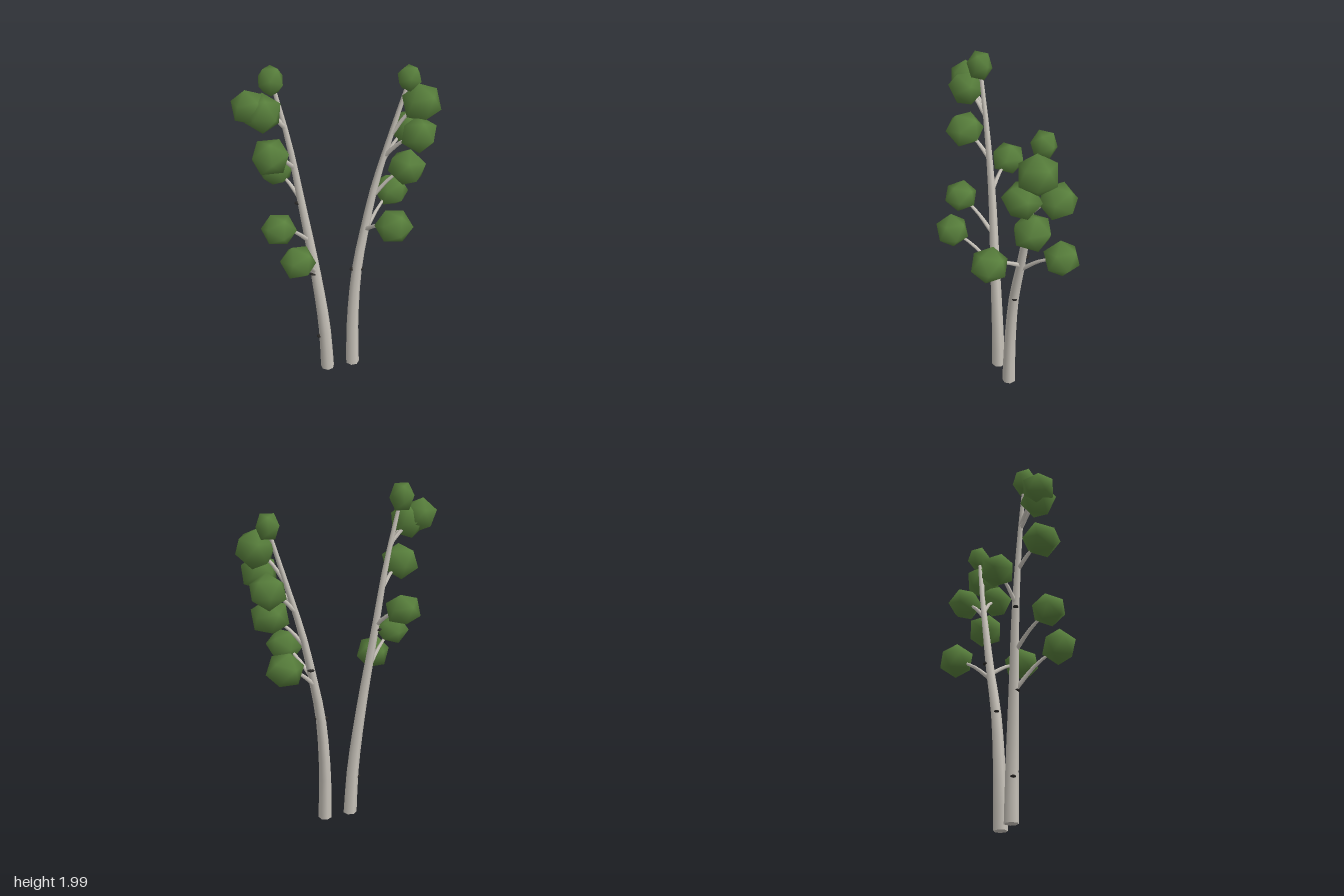
import * as THREE from 'three';
import { mergeVertices } from 'three/addons/utils/BufferGeometryUtils.js';

const bark = new THREE.MeshStandardMaterial({ color: 0xcac5bc });
bark.name = 'pale bark';
const mark = new THREE.MeshStandardMaterial({ color: 0x2a2826 });
mark.name = 'dark bark mark';
const leaf = new THREE.MeshStandardMaterial({ color: 0x587f3c });
leaf.name = 'leaf green';

const V = (p) => new THREE.Vector3(...p);

// Round tube along a curve, narrowing from r0 to r1
function taperedTube(curve, steps, sides, r0, r1) {
  const geo = new THREE.TubeGeometry(curve, steps, 1, sides);
  const pos = geo.attributes.position;
  const v = new THREE.Vector3();
  for (let i = 0; i <= steps; i++) {
    const c = curve.getPointAt(i / steps);
    const r = THREE.MathUtils.lerp(r0, r1, i / steps);
    for (let j = 0; j <= sides; j++) {
      const k = i * (sides + 1) + j;
      v.fromBufferAttribute(pos, k).sub(c).multiplyScalar(r).add(c);
      pos.setXYZ(k, v.x, v.y, v.z);
    }
  }
  return geo;
}

// Closed twelve-cornered leaf blob with smooth shading
function blobGeometry() {
  const geo = new THREE.IcosahedronGeometry(1, 0);
  geo.deleteAttribute('normal');
  geo.deleteAttribute('uv');
  const blob = mergeVertices(geo);
  blob.computeVertexNormals();
  return blob;
}

// Leaf blob turned by its own angles, then stretched upright
function leafCluster(blob, { at, r, tall = 1 }, i) {
  const mesh = new THREE.Mesh(blob, leaf);
  mesh.name = 'leafCluster';
  mesh.rotation.set(i * 1.1 + 0.3, i * 0.7, i * 1.9);
  mesh.scale.setScalar(r);
  const foliage = new THREE.Group();
  foliage.name = 'foliage';
  foliage.position.set(...at);
  foliage.scale.y = tall;
  foliage.add(mesh);
  return foliage;
}

function buildTree(name, { trunk, clusters, marks }) {
  const tree = new THREE.Group();
  tree.name = name;
  const curve = new THREE.CatmullRomCurve3(trunk.map(V));
  const trunkGeo = taperedTube(curve, 14, 7, 0.041, 0.01);
  for (let j = 0; j <= 7; j++) trunkGeo.attributes.position.setY(j, 0);
  const stem = new THREE.Mesh(trunkGeo, bark);
  stem.name = 'trunk';
  const base = new THREE.Mesh(new THREE.CircleGeometry(0.039, 7), bark);
  base.name = 'trunkBase';
  base.rotation.x = Math.PI / 2;
  base.position.set(trunk[0][0], 0.001, trunk[0][2]);
  tree.add(stem, base);

  // Point on the trunk at a given height
  const samples = curve.getSpacedPoints(200);
  const trunkAt = (y) => samples.find((p) => p.y >= y);

  const blob = blobGeometry();
  clusters.forEach((c, i) => {
    tree.add(leafCluster(blob, c, i));
    if (!c.from) return;
    // Branch leaves the trunk steeply, then bends out to the leaves
    const a = trunkAt(c.from);
    const b = V(c.at);
    const mid = a.clone().lerp(b, 0.5);
    mid.y += (b.y - a.y) * 0.12;
    const path = new THREE.CatmullRomCurve3([a, mid, b]);
    const branch = new THREE.Mesh(taperedTube(path, 6, 5, 0.014, 0.007), bark);
    branch.name = 'branch';
    tree.add(branch);
  });

  // Small flattened bark marks
  for (const p of marks) {
    const m = new THREE.Mesh(new THREE.SphereGeometry(1, 8, 5), mark);
    m.name = 'barkMark';
    m.scale.set(0.02, 0.008, 0.016);
    m.position.set(...p);
    tree.add(m);
  }
  return tree;
}

const leftSide = {
  trunk: [[-0.074, 0, 0.018], [-0.09, 0.3, 0.02], [-0.138, 0.7, 0.024], [-0.21, 1.17, 0.026], [-0.27, 1.55, 0.04], [-0.345, 1.9, 0.06]],
  clusters: [
    { at: [-0.353, 1.917, 0.063], r: 0.072, tall: 1.2 },
    { at: [-0.468, 1.8, 0.12], r: 0.096, from: 1.66 },
    { at: [-0.4, 1.77, 0.13], r: 0.104, from: 1.64 },
    { at: [-0.37, 1.53, 0.15], r: 0.11, tall: 0.92, from: 1.4 },
    { at: [-0.345, 1.33, -0.092], r: 0.102, tall: 0.92, from: 1.2 },
    { at: [-0.34, 1.11, 0.188], r: 0.099, tall: 0.9, from: 0.92 },
    { at: [-0.243, 0.94, 0.258], r: 0.1, from: 0.7 },
  ],
  marks: [[-0.118, 0.24, 0.022], [-0.152, 0.71, 0.042], [-0.23, 1.175, 0.024]],
};

const rightSide = {
  trunk: [[0.082, 0, -0.018], [0.081, 0.3, -0.025], [0.105, 0.67, -0.042], [0.148, 0.92, -0.068], [0.205, 1.2, -0.09], [0.288, 1.5, -0.108], [0.38, 1.82, -0.12]],
  clusters: [
    { at: [0.382, 1.83, -0.125], r: 0.07, tall: 1.12 },
    { at: [0.447, 1.703, -0.085], r: 0.112, from: 1.5 },
    { at: [0.428, 1.553, -0.01], r: 0.106, tall: 0.95, from: 1.38 },
    { at: [0.395, 1.505, -0.203], r: 0.106, tall: 0.95, from: 1.34 },
    { at: [0.38, 1.32, -0.077], r: 0.112, tall: 0.94, from: 1.13 },
    { at: [0.29, 1.068, 0.132], r: 0.108, tall: 0.9, from: 0.93 },
    { at: [0.32, 1.08, -0.255], r: 0.106, tall: 0.95, from: 0.89 },
  ],
  marks: [[0.082, 0.675, -0.042], [0.125, 0.675, -0.04], [0.165, 1.0, -0.098]],
};

export function createModel() {
  const model = new THREE.Group();
  model.name = 'twinSaplings';
  model.add(buildTree('leftHandTree', leftSide), buildTree('rightHandTree', rightSide));
  return model;
}
